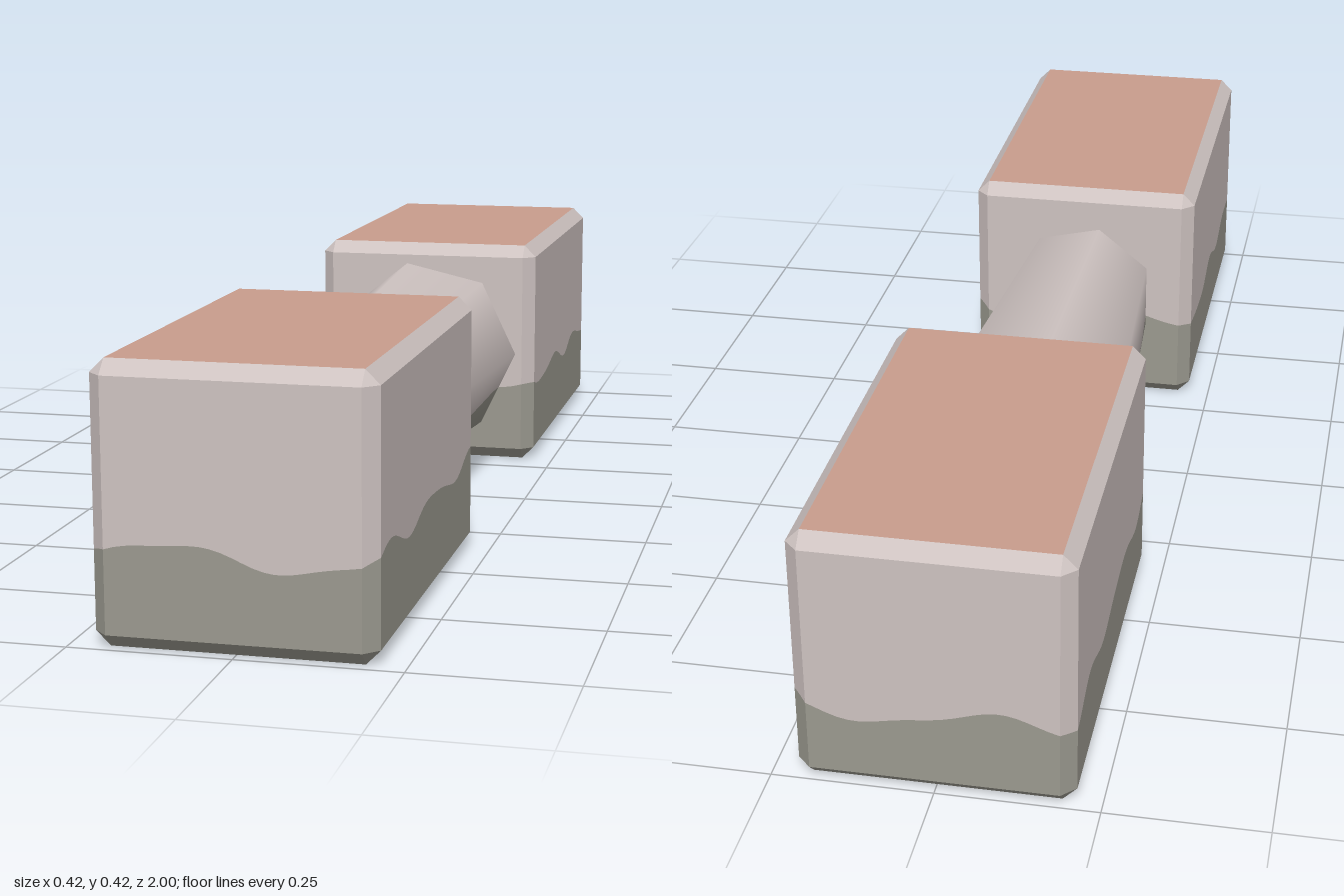
import * as THREE from 'three';

const W = 0.2115, H = 0.423, C = 0.022; // block half width, height, chamfer
const D = 0.3475, BLOCK_Z = 0.6525; // block half length and centre

// Wavy upper limit of the weathered base
const tide = (x, z) =>
  0.146 + 0.012 * Math.cos(21 * (z - 0.63)) - 0.017 * Math.sin(17 * x) + 0.004 * Math.sin(40 * x + 33 * z + 1);

const clamp = THREE.MathUtils.clamp;

// Surface through rows of points; optional rows of normals make it smooth
function surface(rows, normals) {
  const pos = [], nor = [];
  for (let i = 0; i < rows.length - 1; i++) {
    for (let j = 0; j < rows[i].length - 1; j++) {
      for (const [a, b] of [[0, 0], [0, 1], [1, 1], [0, 0], [1, 1], [1, 0]]) {
        pos.push(...rows[i + a][j + b]);
        if (normals) nor.push(...normals[i + a][j + b]);
      }
    }
  }
  const g = new THREE.BufferGeometry();
  g.setAttribute('position', new THREE.Float32BufferAttribute(pos, 3));
  if (normals) g.setAttribute('normal', new THREE.Float32BufferAttribute(nor, 3));
  else g.computeVertexNormals();
  return g;
}

// Closed outline of a block with cut corners, as [x, z]
function outline() {
  const w = W - C, d = D - C;
  const corners = [[-w, D], [w, D], [W, d], [W, -d], [w, -D], [-w, -D], [-W, -d], [-W, d]];
  const counts = [24, 2, 40, 2, 24, 2, 40, 2];
  const pts = [];
  corners.forEach((a, k) => {
    const b = corners[(k + 1) % 8];
    for (let i = 0; i < counts[k]; i++) {
      const t = i / counts[k];
      pts.push([a[0] + (b[0] - a[0]) * t, a[1] + (b[1] - a[1]) * t]);
    }
  });
  pts.push(corners[0]);
  return pts;
}

export function createModel() {
  const material = (name, color) => {
    const m = new THREE.MeshStandardMaterial({ color });
    m.name = name;
    return m;
  };
  const pale = material('paleStone', 0xcec3c1);
  const weathered = material('weatheredStone', 0x9b998f);
  const clay = material('clay', 0xc89c8c);

  const model = new THREE.Group();
  model.name = 'stoneBeam';
  const add = (parent, name, geometry, mat) => {
    const mesh = new THREE.Mesh(geometry, mat);
    mesh.name = name;
    parent.add(mesh);
    return mesh;
  };

  // Chamfered end blocks
  const ring = outline();
  const inset = ring.map(([x, z]) => [clamp(x, C - W, W - C), clamp(z, C - D, D - C)]);
  for (const [name, z0] of [['frontBlock', BLOCK_Z], ['backBlock', -BLOCK_Z]]) {
    const block = new THREE.Group();
    block.name = name;
    block.position.z = z0;
    model.add(block);

    const level = (pts, y) => pts.map(([x, z]) => [x, y, z]);
    const line = ring.map(([x, z]) => [x, tide(x, z + z0), z]);
    add(block, 'blockBase', surface([level(inset, 0), level(ring, C), line]), weathered);
    add(block, 'blockUpper', surface([line, level(ring, H - C), level(inset, H)]), pale);

    const cap = () => new THREE.PlaneGeometry(2 * (W - C), 2 * (D - C));
    add(block, 'topFace', cap().rotateX(-Math.PI / 2).translate(0, H, 0), clay);
    add(block, 'bottomFace', cap().rotateX(Math.PI / 2), clay);
  }

  // Tapered seven-sided shaft, smooth shaded, split along the tide line
  const SIDES = 7, HALF = 0.306, R_BACK = 0.177, R_FRONT = 0.138;
  const direction = (t) => {
    const k = Math.floor(t), f = t - k;
    const a = (k * 2 * Math.PI) / SIDES, b = ((k + 1) * 2 * Math.PI) / SIDES;
    return [
      Math.cos(a) * (1 - f) + Math.cos(b) * f,
      Math.sin(a) * (1 - f) + Math.sin(b) * f,
    ];
  };
  const point = (t, z) => {
    const r = THREE.MathUtils.mapLinear(z, -HALF, HALF, R_BACK, R_FRONT);
    const [x, y] = direction(t);
    return [x * r, H / 2 + y * r, z];
  };
  const normal = (t) => new THREE.Vector3(...direction(t), 0.064).normalize().toArray();
  // Place on the ring, between a high and a low position, where the tide line crosses
  const crossing = (high, low, z) => {
    for (let i = 0; i < 24; i++) {
      const mid = (high + low) / 2;
      const [x, y] = point(mid, z);
      if (y > tide(x, z)) high = mid;
      else low = mid;
    }
    return (high + low) / 2;
  };

  const parts = { shaftBase: [[], []], shaftUpper: [[], []] };
  for (let i = 0; i <= 48; i++) {
    const z = -HALF + (2 * HALF * i) / 48;
    const left = crossing(3, 5, z), right = crossing(7, 6, z);
    const spans = { shaftBase: [3, 7, left, right], shaftUpper: [6, 12, right, left + SIDES] };
    for (const [name, [from, to, lo, hi]] of Object.entries(spans)) {
      const ts = [];
      for (let t = from; t <= to; t++) ts.push(clamp(t, lo, hi));
      parts[name][0].push(ts.map((t) => point(t, z)));
      parts[name][1].push(ts.map(normal));
    }
  }
  add(model, 'shaftBase', surface(...parts.shaftBase), weathered);
  add(model, 'shaftUpper', surface(...parts.shaftUpper), pale);

  return model;
}
